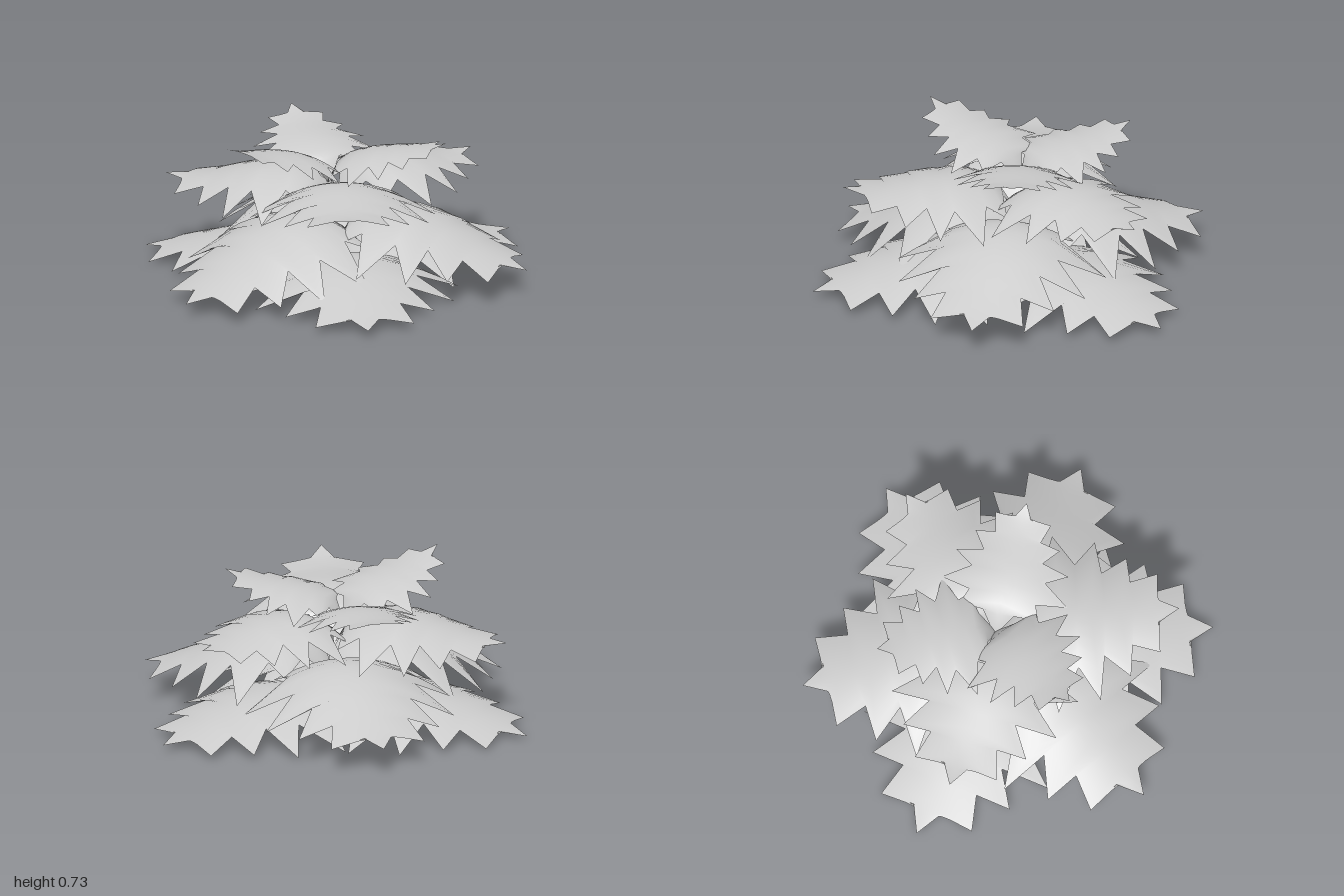
import * as THREE from 'three';

// Half outline of a serrated leaf of length 1: [along, sideways], base to tip
const OUTLINE = [
  [0, 0.02], [0.1, 0.13], [0.12, 0.33], [0.23, 0.28], [0.3, 0.53], [0.42, 0.31], [0.54, 0.475],
  [0.57, 0.25], [0.715, 0.355], [0.73, 0.19], [0.885, 0.235], [0.88, 0.07], [1, 0],
];
const COLS = 6;
const STATIONS = [0, 0.35, 0.7, 1];

// Midrib height: smooth cubic through the four heights at STATIONS, dipping to the stem at the base
function ribHeight(a, heights) {
  const cubic = heights.reduce((sum, h, i) => sum + STATIONS.reduce(
    (w, s, j) => (j === i ? w : w * (a - s) / (STATIONS[i] - s)), h), 0);
  return cubic - 0.08 * Math.max(0, 1 - a / 0.12) ** 2;
}

// Arched leaf pointing along +x, its sides drooping with the square of the width
function leafGeometry({ size, heights, droop }) {
  const pos = [], index = [];
  const last = OUTLINE.length - 1, width = 2 * COLS + 1;
  OUTLINE.forEach(([a, l], i) => {
    const rib = i / last;
    for (let c = -COLS; c <= COLS; c++) {
      const along = THREE.MathUtils.lerp(rib, a, Math.abs(c) / COLS);
      const side = l * c / COLS * size;
      pos.push(along * size, ribHeight(along, heights) - droop * side * side, side);
    }
    if (i === last) return;
    for (let c = 0; c < width - 1; c++) {
      const p = i * width + c, q = p + width;
      index.push(p, p + 1, q, p + 1, q + 1, q);
    }
  });
  const g = new THREE.BufferGeometry();
  g.setAttribute('position', new THREE.Float32BufferAttribute(pos, 3));
  g.setIndex(index);
  g.computeVertexNormals();
  return g;
}

// Tiers from the ground up; angle in degrees from +x towards +z
const TIERS = [
  { name: 'groundLeaves', x: 0, z: 0, droop: 0.58, leaves: [
    { angle: -2, size: 1, heights: [0.09, 0.17, 0.105, 0.035] },
    { angle: 115.5, size: 1.02, heights: [0.09, 0.175, 0.11, 0.04] },
    { angle: 236, size: 1.015, heights: [0.09, 0.17, 0.1, 0.01] },
  ] },
  { name: 'lowerLeaves', x: 0, z: 0, droop: 0.8, leaves: [
    { angle: 170, size: 1.015, heights: [0.24, 0.335, 0.185, 0.07] },
    { angle: 55, size: 0.97, heights: [0.26, 0.365, 0.245, 0.13] },
    { angle: -71, size: 0.985, heights: [0.24, 0.34, 0.235, 0.15] },
  ] },
  { name: 'upperLeaves', x: 0, z: 0, droop: 0.8, leaves: [
    { angle: -4, size: 0.79, heights: [0.42, 0.545, 0.5, 0.48] },
    { angle: 120, size: 0.85, heights: [0.42, 0.535, 0.51, 0.54] },
    { angle: 229, size: 0.87, heights: [0.41, 0.53, 0.46, 0.43] },
  ] },
  { name: 'crownLeaves', x: -0.03, z: -0.06, droop: 0.8, leaves: [
    { angle: 174, size: 0.58, heights: [0.53, 0.635, 0.67, 0.73] },
    { angle: 47, size: 0.59, heights: [0.53, 0.62, 0.645, 0.69] },
    { angle: -74, size: 0.59, heights: [0.53, 0.605, 0.62, 0.66] },
  ] },
];

export function createModel() {
  const model = new THREE.Group();
  model.name = 'leafyPlant';
  const material = new THREE.MeshStandardMaterial({ color: 0xcccccc, side: THREE.DoubleSide });
  for (const { name, x, z, droop, leaves } of TIERS) {
    const tier = new THREE.Group();
    tier.name = name;
    tier.position.set(x, 0, z);
    for (const leaf of leaves) {
      const mesh = new THREE.Mesh(leafGeometry({ ...leaf, droop }), material);
      mesh.name = 'leaf';
      mesh.rotation.y = -THREE.MathUtils.degToRad(leaf.angle);
      tier.add(mesh);
    }
    model.add(tier);
  }
  return model;
}
